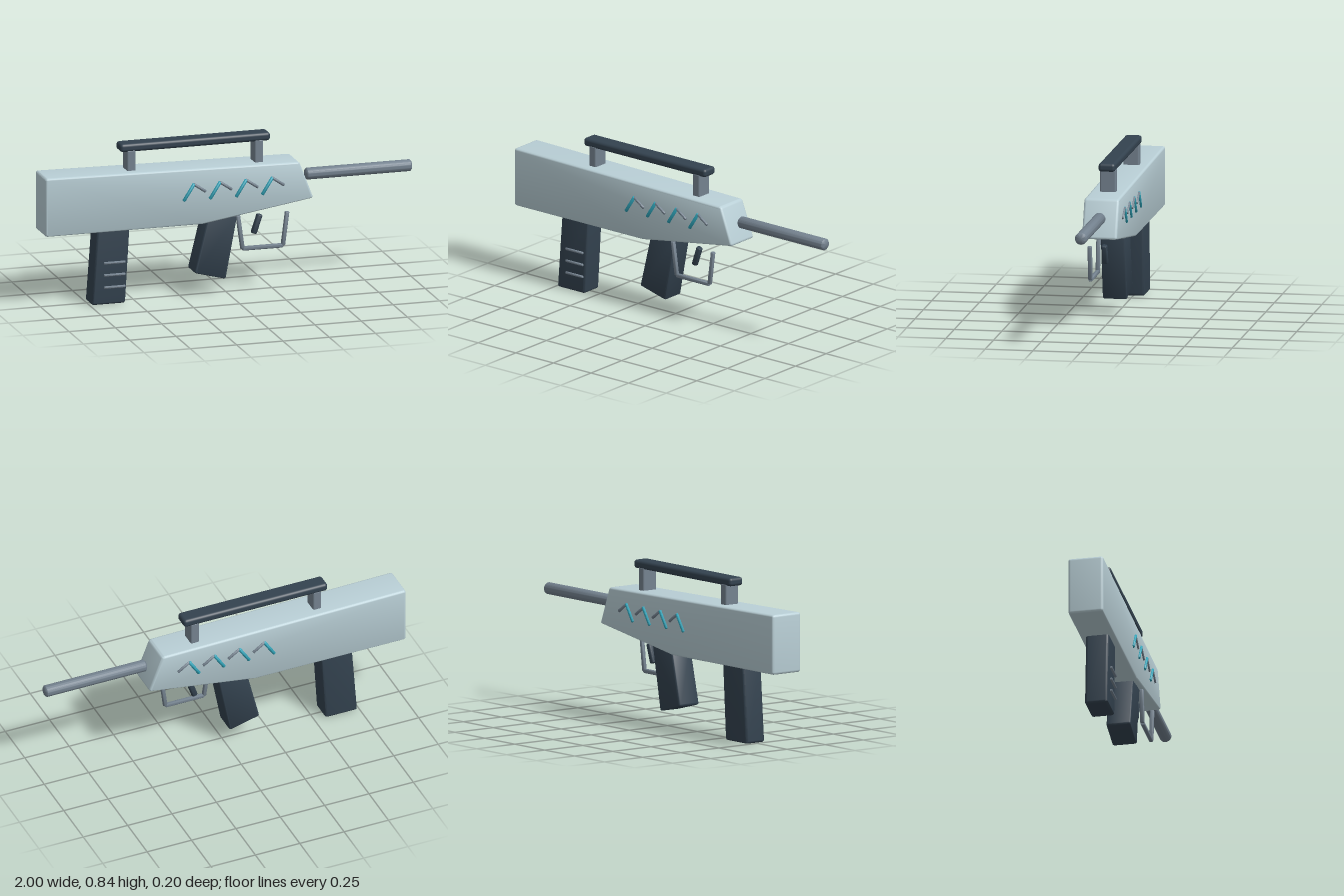
import * as THREE from 'three';
import { toCreasedNormals } from 'three/addons/utils/BufferGeometryUtils.js';
import { RoundedBoxGeometry } from 'three/addons/geometries/RoundedBoxGeometry.js';

const material = (color) => new THREE.MeshStandardMaterial({ color });

export function createModel() {
  const model = new THREE.Group();
  const shell = material(0xb9cfd6);
  const dark = material(0x33424f);
  const metal = material(0x74828f);
  const accent = material(0x2fa3b8);

  const add = (name, geometry, mat, parent = model) => {
    const mesh = new THREE.Mesh(geometry, mat);
    mesh.name = name;
    parent.add(mesh);
    return mesh;
  };

  // Side outline with rounded corners, extruded across z with soft edges
  const prism = (points, halfDepth, bevel) => {
    const pts = points.map(([x, y]) => new THREE.Vector2(x, y));
    const toward = (a, b) => a.clone().add(b.clone().sub(a).setLength(bevel));
    const shape = new THREE.Shape();
    pts.forEach((p, i) => {
      const start = toward(p, pts.at(i - 1));
      const end = toward(p, pts[(i + 1) % pts.length]);
      if (i === 0) shape.moveTo(start.x, start.y);
      else shape.lineTo(start.x, start.y);
      shape.quadraticCurveTo(p.x, p.y, end.x, end.y);
    });
    shape.closePath();
    const geometry = new THREE.ExtrudeGeometry(shape, {
      depth: 2 * (halfDepth - bevel), curveSegments: 4, bevelEnabled: true,
      bevelThickness: bevel, bevelSize: bevel * 0.8, bevelOffset: -bevel * 0.8, bevelSegments: 4,
    });
    geometry.translate(0, 0, bevel - halfDepth);
    return toCreasedNormals(geometry, 0.7);
  };

  // Round rod with softened ends between two points of the side plane
  const rod = (name, [x1, y1], [x2, y2], z, radius, mat, parent, sides = 16) => {
    const length = Math.hypot(x2 - x1, y2 - y1);
    const h = length / 2, e = radius * 0.25;
    const profile = [[0, -h], [radius - e, -h], [radius, e - h], [radius, h - e], [radius - e, h], [0, h]];
    const geometry = toCreasedNormals(
      new THREE.LatheGeometry(profile.map(([x, y]) => new THREE.Vector2(x, y)), sides), 0.8);
    const mesh = add(name, geometry, mat, parent);
    mesh.position.set((x1 + x2) / 2, (y1 + y2) / 2, z);
    mesh.rotation.z = Math.atan2(y2 - y1, x2 - x1) - Math.PI / 2;
  };

  const box = (name, x1, x2, y1, y2, depth, radius, mat) =>
    add(name, new RoundedBoxGeometry(x2 - x1, y2 - y1, depth, 3, radius), mat)
      .position.set((x1 + x2) / 2, (y1 + y2) / 2, 0);

  // Main body, magazine and grip
  add('body', prism([[-1, 0.397], [-0.15, 0.397], [0.448, 0.49], [0.372, 0.688], [-1, 0.71]], 0.092, 0.014), shell);
  add('magazine', prism([[-0.74, 0.002], [-0.559, 0.002], [-0.534, 0.42], [-0.709, 0.42]], 0.06, 0.014), dark);
  add('grip', prism([[-0.187, 0.13], [-0.018, 0.086], [0.046, 0.426], [-0.115, 0.426]], 0.064, 0.012), dark);

  // Magazine ribs
  for (const y of [0.095, 0.16, 0.225]) {
    rod('magazineRib', [-0.677, y], [-0.562, y], 0.066, 0.007, metal, model, 10);
  }

  // Barrel
  rod('barrel', [0.43, 0.597], [1, 0.597], 0, 0.031, metal, model, 32);

  // Carry handle on two posts
  box('carryHandle', -0.58, 0.23, 0.802, 0.846, 0.088, 0.016, dark);
  box('rearHandlePost', -0.544, -0.498, 0.685, 0.812, 0.084, 0.008, metal);
  box('frontHandlePost', 0.145, 0.191, 0.675, 0.812, 0.084, 0.008, metal);

  // Trigger and its guard
  const guard = new THREE.Group();
  guard.name = 'triggerGuard';
  model.add(guard);
  const path = [[0.043, 0.425], [0.068, 0.246], [0.286, 0.246], [0.309, 0.425]];
  for (let i = 0; i < 3; i++) rod('guardBar', path[i], path[i + 1], 0.074, 0.012, metal, guard);
  rod('trigger', [0.144, 0.308], [0.177, 0.407], 0.021, 0.0165, dark, model);

  // Chevron trim along both sides
  for (const side of [-1, 1]) {
    const trim = new THREE.Group();
    trim.name = side > 0 ? 'frontTrim' : 'backTrim';
    model.add(trim);
    for (let i = 0; i < 4; i++) {
      const x = -0.2 + i * 0.141;
      rod('accentStroke', [x - 0.055, 0.531], [x + 0.002, 0.62], side * 0.093, 0.009, accent, trim, 10);
      rod('metalStroke', [x - 0.001, 0.618], [x + 0.064, 0.573], side * 0.093, 0.008, metal, trim, 10);
    }
  }
  return model;
}
